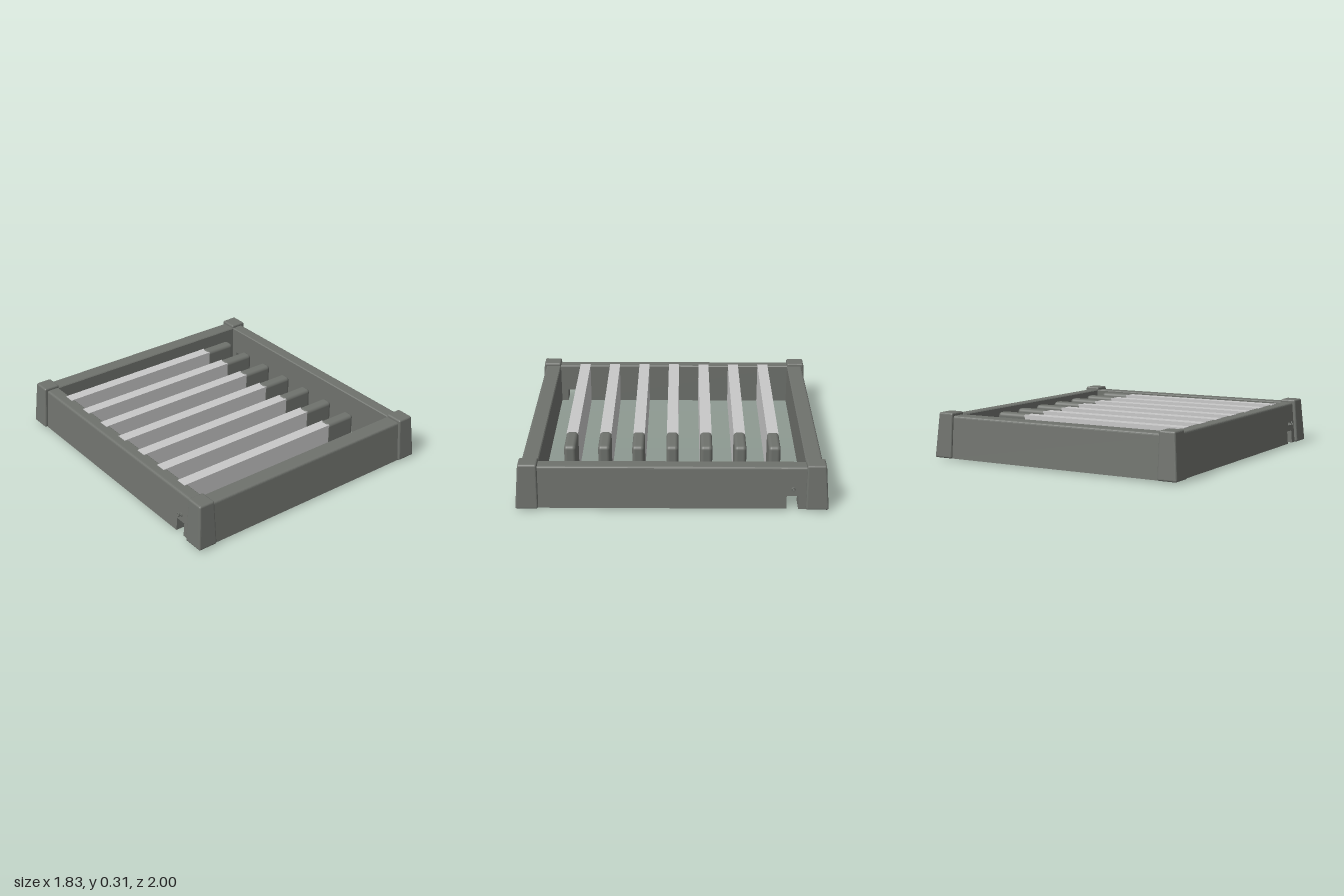
import * as THREE from 'three';
import { RoundedBoxGeometry } from 'three/addons/geometries/RoundedBoxGeometry.js';

const stone = new THREE.MeshStandardMaterial({ color: 0x6f726d });
stone.name = 'dark grey frame';
const light = new THREE.MeshStandardMaterial({ color: 0xc8c8c8 });
light.name = 'light grey bar';

const BASE = 0.012;
const WALL_TOP = 0.295;

function add(parent, name, geometry, material, x = 0, y = 0, z = 0) {
  const mesh = new THREE.Mesh(geometry, material);
  mesh.name = name;
  mesh.position.set(x, y, z);
  parent.add(mesh);
  return mesh;
}

// Wall section: upright inside, sloping outside, softened top edge; runs along z
function wallGeometry(inner, outer, from, to, bottom = BASE) {
  const lean = 0.024;
  const at = (y) => outer - lean * (y - BASE) / (WALL_TOP - BASE);
  const s = new THREE.Shape();
  s.moveTo(inner, bottom);
  s.lineTo(at(bottom), bottom);
  s.lineTo(at(WALL_TOP - 0.015), WALL_TOP - 0.015);
  s.quadraticCurveTo(at(WALL_TOP), WALL_TOP, at(WALL_TOP) - 0.015, WALL_TOP);
  s.lineTo(inner + 0.006, WALL_TOP);
  s.lineTo(inner, WALL_TOP - 0.006);
  s.closePath();
  const g = new THREE.ExtrudeGeometry(s, { depth: to - from, bevelEnabled: false, curveSegments: 4 });
  return g.translate(0, 0, from);
}

// Corner post whose two outer faces spread towards the foot
function postGeometry(zSide) {
  const height = 0.303;
  const g = new RoundedBoxGeometry(0.112, height, 0.122, 3, 0.012);
  const p = g.attributes.position;
  for (let i = 0; i < p.count; i++) {
    const spread = 0.024 * (0.5 - p.getY(i) / height);
    if (p.getX(i) > 0) p.setX(i, p.getX(i) + spread);
    if (p.getZ(i) * zSide > 0) p.setZ(i, p.getZ(i) + zSide * spread);
  }
  g.computeVertexNormals();
  return g.translate(0.836, BASE + height / 2, zSide * 0.914);
}

// Half of the frame; the other half is the same turned half a circle
function frameHalf() {
  const half = new THREE.Group();
  add(half, 'endWall', wallGeometry(0.853, 0.985, -0.8, 0.8).rotateY(-Math.PI / 2), stone);

  // Side wall with a small drain notch near one corner
  add(half, 'sideWall', wallGeometry(0.785, 0.896, -0.73, 0.87), stone);
  add(half, 'wallOverNotch', wallGeometry(0.785, 0.896, -0.805, -0.73, 0.1), stone);
  add(half, 'wallEnd', wallGeometry(0.785, 0.896, -0.87, -0.805), stone);

  add(half, 'cornerPost', postGeometry(1), stone);
  add(half, 'cornerPost', postGeometry(-1), stone);

  // Small eye bolt above the notch
  const bolt = new THREE.Group();
  bolt.name = 'eyeBolt';
  bolt.position.set(0.895, 0.147, -0.77);
  add(bolt, 'boltShank', new THREE.CylinderGeometry(0.007, 0.007, 0.04, 10).rotateZ(Math.PI / 2), stone);
  add(bolt, 'boltCollar', new THREE.CylinderGeometry(0.015, 0.015, 0.008, 12).rotateZ(Math.PI / 2), stone, -0.006);
  add(bolt, 'boltEye', new THREE.TorusGeometry(0.009, 0.004, 6, 14).rotateY(Math.PI / 2), stone, 0.012, 0.012);
  half.add(bolt);
  return half;
}

export function createModel() {
  const model = new THREE.Group();
  model.name = 'slattedTray';

  for (const turn of [0, Math.PI]) {
    const half = frameHalf();
    half.name = turn ? 'frameBackHalf' : 'frameFrontHalf';
    half.rotation.y = turn;
    model.add(half);
  }

  // Seven upright bars fixed to one side wall, each with a rounded tip
  for (let i = -3; i <= 3; i++) {
    const bar = new THREE.Group();
    bar.name = 'bar';
    bar.position.z = i * 0.2225;
    add(bar, 'barBlade', new THREE.BoxGeometry(1.2, 0.29, 0.076), light, -0.21, 0.154, 0);
    const tip = new RoundedBoxGeometry(0.238, 0.304, 0.08, 4, 0.024);
    // Slight waist along the tip
    const p = tip.attributes.position;
    for (let k = 0; k < p.count; k++) {
      p.setZ(k, p.getZ(k) * (1 - 0.06 * Math.cos(p.getX(k) * 13)));
    }
    add(bar, 'barTip', tip, stone, 0.488, 0.152, 0);
    model.add(bar);
  }
  return model;
}
